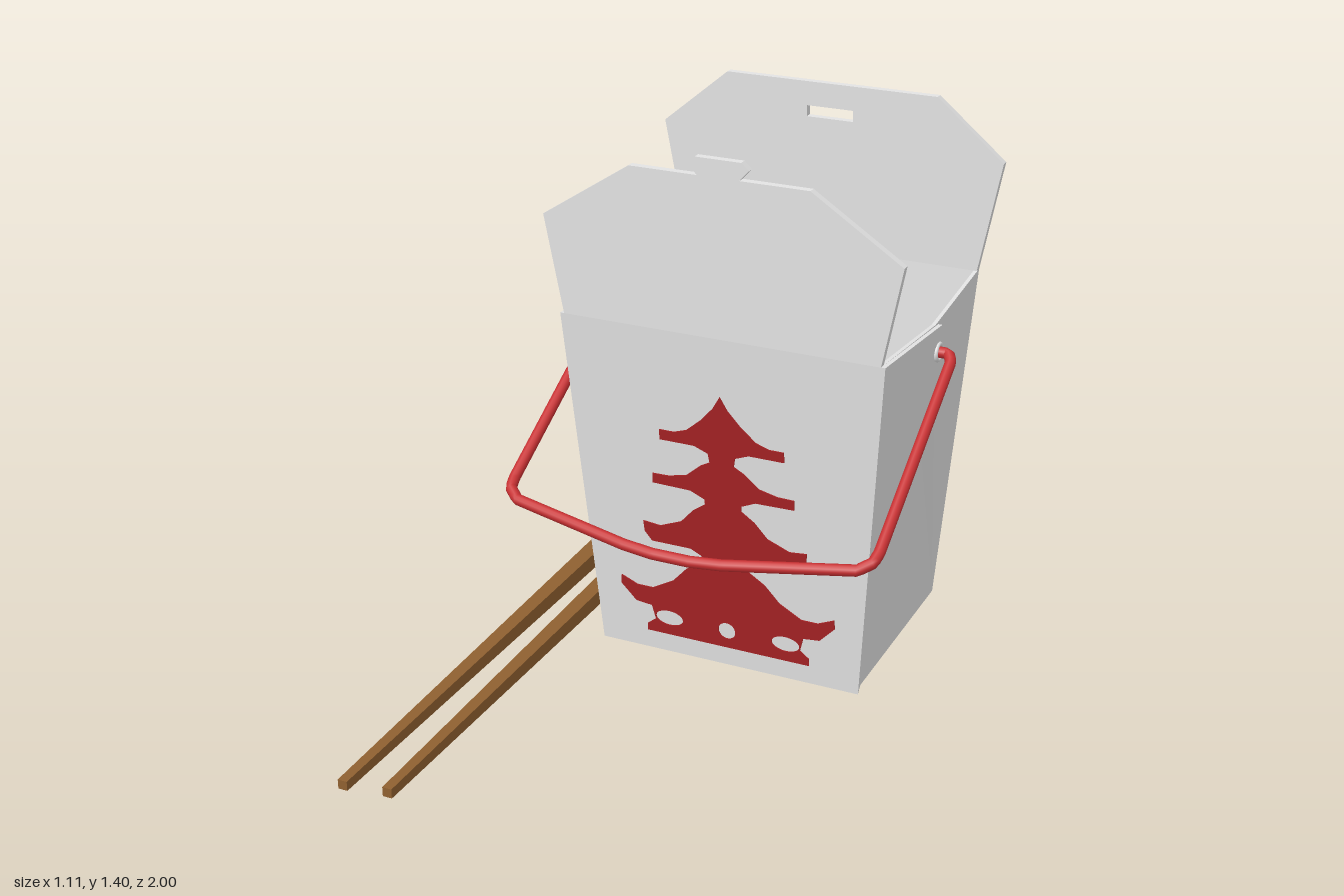
import * as THREE from 'three';

const material = (name, color, side = THREE.FrontSide) => {
  const m = new THREE.MeshStandardMaterial({ color, side });
  m.name = name;
  return m;
};

function add(parent, name, geometry, mat) {
  const mesh = new THREE.Mesh(geometry, mat);
  mesh.name = name;
  parent.add(mesh);
  return mesh;
}

// Sheet from a convex outline, thickened along an offset vector
function sheet(points, offset) {
  let a = points.map(p => new THREE.Vector3(...p));
  const o = new THREE.Vector3(...offset);
  const n = a[1].clone().sub(a[0]).cross(a[2].clone().sub(a[0]));
  if (n.dot(o) > 0) a = a.reverse();
  const b = a.map(p => p.clone().add(o));
  const out = [];
  const tri = (...ps) => ps.forEach(p => out.push(p.x, p.y, p.z));
  for (let i = 1; i < a.length - 1; i++) {
    tri(a[0], a[i], a[i + 1]);
    tri(b[0], b[i + 1], b[i]);
  }
  a.forEach((p, i) => {
    const j = (i + 1) % a.length;
    tri(p, b[i], b[j]);
    tri(p, b[j], a[j]);
  });
  const g = new THREE.BufferGeometry();
  g.setAttribute('position', new THREE.Float32BufferAttribute(out, 3));
  g.computeVertexNormals();
  return g;
}

// Shape mirrored about x = 0 from its right half
function symmetricShape(half) {
  const left = half.filter(p => p[0] > 0).map(([x, y]) => [-x, y]).reverse();
  return new THREE.Shape([...half, ...left].map(p => new THREE.Vector2(...p)));
}

const extrude = (shape, depth) =>
  new THREE.ExtrudeGeometry(shape, { depth, bevelEnabled: false, curveSegments: 16 });

export function createModel() {
  const paper = material('white paper', 0xe2e2e2, THREE.DoubleSide);
  const print = material('dark red print', 0xa52224);
  const wire = material('red wire', 0xc83032);
  const wood = material('brown wood', 0x8f6030);

  const model = new THREE.Group();
  model.name = 'takeawayBox';
  const box = new THREE.Group();
  box.name = 'carton';
  box.position.set(0.05, 0, -0.24);
  model.add(box);

  // Carton floor and tapered front and back walls
  const bx = 0.353, bz = 0.3, tx = 0.422, tz = 0.365, top = 0.945;
  add(box, 'floor', new THREE.BoxGeometry(bx * 2, 0.012, bz * 2 - 0.004), paper).position.y = 0.006;
  for (const s of [1, -1]) {
    add(box, s > 0 ? 'frontWall' : 'backWall', sheet(
      [[-bx, 0, s * bz], [bx, 0, s * bz], [tx, top, s * tz], [-tx, top, s * tz]],
      [0, 0, -s * 0.014]), paper);
  }

  // Folded side walls: lower triangle, two wings and the overlapping outer wing
  for (const s of [1, -1]) {
    const side = new THREE.Group();
    side.name = s > 0 ? 'leftSide' : 'rightSide';
    box.add(side);
    const peak = [s * 0.4, 0.61, 0], rim = [s * 0.43, 0.92, 0];
    add(side, 'lowerTriangle', sheet([[s * bx, 0, bz], [s * bx, 0, -bz], peak], [-s * 0.01, 0, 0]), paper);
    for (const z of [1, -1]) {
      add(side, z > 0 ? 'frontWing' : 'backWing', sheet(
        [[s * bx, 0, z * bz], [s * tx, top, z * tz], rim, peak], [-s * 0.01, 0, 0]), paper);
    }
    add(side, 'outerWing', sheet(
      [[s * bx, 0, bz], [s * tx, top, tz], [s * 0.434, 0.92, -0.01], [s * 0.425, 0.81, -0.09]],
      [s * 0.011, 0, 0]), paper);
    // Eyelet around the handle end
    const eyelet = add(side, 'eyelet', new THREE.TorusGeometry(0.021, 0.006, 8, 20), paper);
    eyelet.position.set(s * 0.441, 0.85, 0);
    eyelet.rotation.y = Math.PI / 2;
  }

  // Open lid flaps: tab on the front, slot in the back
  const frontFlap = symmetricShape([[tx, top], [0.472, 1.2], [0.235, 1.355], [0.055, 1.355],
    [0.08, 1.382], [0.06, 1.4]]);
  const backFlap = symmetricShape([[tx, top], [0.48, 1.245], [0.295, 1.4]]);
  backFlap.holes.push(symmetricShape([[0.065, 1.305], [0.065, 1.335]]));
  add(box, 'frontFlap', extrude(frontFlap, 0.02), paper).position.z = tz - 0.02;
  add(box, 'backFlap', extrude(backFlap, 0.02), paper).position.z = -tz;

  // Printed pagoda with door and windows left open
  const pagoda = symmetricShape([
    [0.23, 0.055], [0.23, 0.075], [0.205, 0.095], [0.215, 0.135], [0.26, 0.14], [0.302, 0.185],
    [0.3, 0.21], [0.255, 0.19], [0.21, 0.19], [0.15, 0.225], [0.11, 0.27], [0.065, 0.3],
    [0.065, 0.32], [0.095, 0.335], [0.205, 0.335], [0.225, 0.36], [0.228, 0.39], [0.18, 0.385],
    [0.12, 0.41], [0.085, 0.45], [0.05, 0.475], [0.05, 0.49], [0.09, 0.508], [0.195, 0.51],
    [0.195, 0.537], [0.15, 0.538], [0.1, 0.55], [0.06, 0.585], [0.033, 0.6], [0.037, 0.625],
    [0.075, 0.64], [0.17, 0.64], [0.17, 0.668], [0.13, 0.668], [0.095, 0.68], [0.055, 0.715],
    [0.02, 0.755], [0, 0.79]]);
  for (const [x, rx, ry] of [[-0.165, 0.039, 0.022], [0, 0.024, 0.024], [0.165, 0.039, 0.022]]) {
    pagoda.holes.push(new THREE.Path().absellipse(x, 0.106, rx, ry, 0, Math.PI * 2));
  }
  const pagodaGeometry = extrude(pagoda, 0.004);
  pagodaGeometry.rotateX(Math.atan((tz - bz) / top));
  pagodaGeometry.translate(0, 0, bz - 0.001);
  add(box, 'frontPagoda', pagodaGeometry, print);
  add(box, 'backPagoda', pagodaGeometry, print).rotation.y = Math.PI;

  // Wire handle swung down in front
  const half = [[0.41, 0.85, 0], [0.468, 0.85, 0], [0.481, 0.838, 0.02], [0.491, 0.545, 0.525],
    [0.486, 0.53, 0.553], [0.455, 0.515, 0.577], [0.13, 0.484, 0.632], [0.05, 0.48, 0.64]];
  const path = [...half, ...half.map(([x, y, z]) => [-x, y, z]).reverse()];
  const curve = new THREE.CurvePath();
  for (let i = 1; i < path.length; i++) {
    curve.add(new THREE.LineCurve3(new THREE.Vector3(...path[i - 1]), new THREE.Vector3(...path[i])));
  }
  add(box, 'handle', new THREE.TubeGeometry(curve, 240, 0.0145, 12), wire);

  // Tapered square chopsticks
  const chopsticks = new THREE.Group();
  chopsticks.name = 'chopsticks';
  model.add(chopsticks);
  for (const [x, y, back, front] of [[-0.527, 0.036, -0.98, 1], [-0.42, 0.029, -1, 0.975]]) {
    const g = new THREE.CylinderGeometry(0.0125 * Math.SQRT2, 0.029 * Math.SQRT2, front - back, 4, 1);
    g.rotateY(Math.PI / 4);
    g.rotateX(Math.PI / 2);
    const flat = g.toNonIndexed();
    flat.computeVertexNormals();
    add(chopsticks, 'chopstick', flat, wood).position.set(x, y, (front + back) / 2);
  }
  return model;
}
